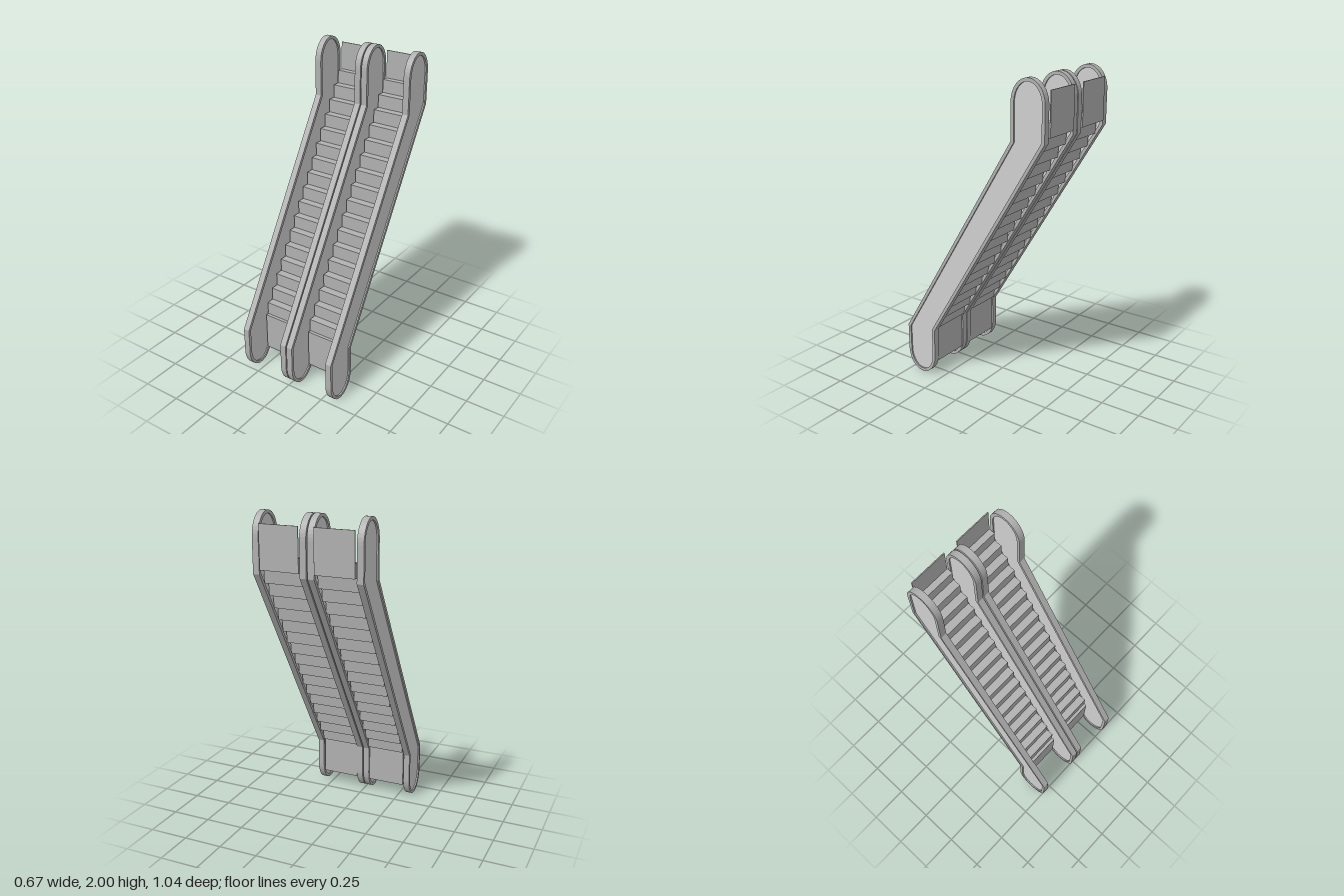
import * as THREE from 'three';

const grey = new THREE.MeshStandardMaterial({ color: 0xb0b0b0 });
grey.name = 'steel grey';
const pale = new THREE.MeshStandardMaterial({ color: 0xcecece });
pale.name = 'pale panel grey';

const SIDE_X = [-0.316, -0.0235, 0.0235, 0.316];
const LANE_X = [-0.168, 0.168];
const LANE_WIDTH = 0.242;
const STEPS = 17, RISE = 0.0838, RUN = 0.0502;
const FIRST_Y = 0.339, FIRST_Z = 0.326, BACK_Z = -0.521;

// Side outline in (z, y), inset by d: a slanted band with rounded ends
function outline(d, Type = THREE.Shape) {
  const k = 0.28 * d;
  const front = 0.518 - d, back = 0.298 + d;
  const topFront = -0.293 - d, topBack = -0.515 + d;
  const arc = 0.14, segments = 20;
  const pts = [];
  pts.push(new THREE.Vector2(back, 0.318 + k));
  for (let i = 0; i <= segments; i++) {
    const a = Math.PI * (1 + i / segments);
    pts.push(new THREE.Vector2(
      (front + back) / 2 + Math.cos(a) * (front - back) / 2,
      arc + Math.sin(a) * (arc - d)));
  }
  pts.push(new THREE.Vector2(front, 0.308 - k));
  pts.push(new THREE.Vector2(topFront, 1.643 - k));
  for (let i = 0; i <= segments; i++) {
    const a = Math.PI * i / segments;
    pts.push(new THREE.Vector2(
      (topFront + topBack) / 2 + Math.cos(a) * (topFront - topBack) / 2,
      2 - arc + Math.sin(a) * (arc - d)));
  }
  pts.push(new THREE.Vector2(topBack, 1.653 + k));
  return new Type(pts);
}

// Extrude a (z, y) shape across x, centred on x = 0
function acrossX(shape, width) {
  const geo = new THREE.ExtrudeGeometry(shape, { depth: width, bevelEnabled: false });
  geo.translate(0, 0, -width / 2);
  geo.rotateY(-Math.PI / 2);
  return geo;
}

function addMesh(parent, name, geo, material, x = 0) {
  const mesh = new THREE.Mesh(geo, material);
  mesh.name = name;
  mesh.position.x = x;
  parent.add(mesh);
}

// Flat apron spanning one lane
function apron(z0, z1, y0, y1) {
  const geo = new THREE.BoxGeometry(LANE_WIDTH, y1 - y0, z1 - z0);
  geo.translate(0, (y0 + y1) / 2, (z0 + z1) / 2);
  return geo;
}

export function createModel() {
  const model = new THREE.Group();
  model.name = 'doubleEscalator';

  // Four balustrades: handrail loop around a recessed panel
  const railShape = outline(0);
  railShape.holes.push(outline(0.02, THREE.Path));
  const railGeo = acrossX(railShape, 0.04);
  const panelGeo = acrossX(outline(0.019), 0.022);
  for (const x of SIDE_X) {
    const side = new THREE.Group();
    side.name = 'balustrade';
    side.position.x = x;
    addMesh(side, 'handrail', railGeo, grey);
    addMesh(side, 'sidePanel', panelGeo, pale);
    model.add(side);
  }

  // Two lanes of steps, each with a lower and an upper apron
  for (const x of LANE_X) {
    const lane = new THREE.Group();
    lane.name = 'lane';
    lane.position.x = x;
    for (let i = 0; i < STEPS; i++) {
      const y = FIRST_Y + i * RISE, z = FIRST_Z - i * RUN;
      const profile = new THREE.Shape([
        new THREE.Vector2(z, y),
        new THREE.Vector2(z, y + RISE),
        new THREE.Vector2(Math.max(z - RUN - 0.001, BACK_Z), y + RISE),
        new THREE.Vector2(z - 0.043, y),
      ]);
      addMesh(lane, 'step', acrossX(profile, LANE_WIDTH), grey);
    }
    addMesh(lane, 'lowerApron', apron(0.305, 0.346, 0.09, FIRST_Y), grey);
    addMesh(lane, 'upperApron', apron(BACK_Z - 0.001, BACK_Z + 0.005, 1.681, 1.94), grey);
    model.add(lane);
  }
  return model;
}
